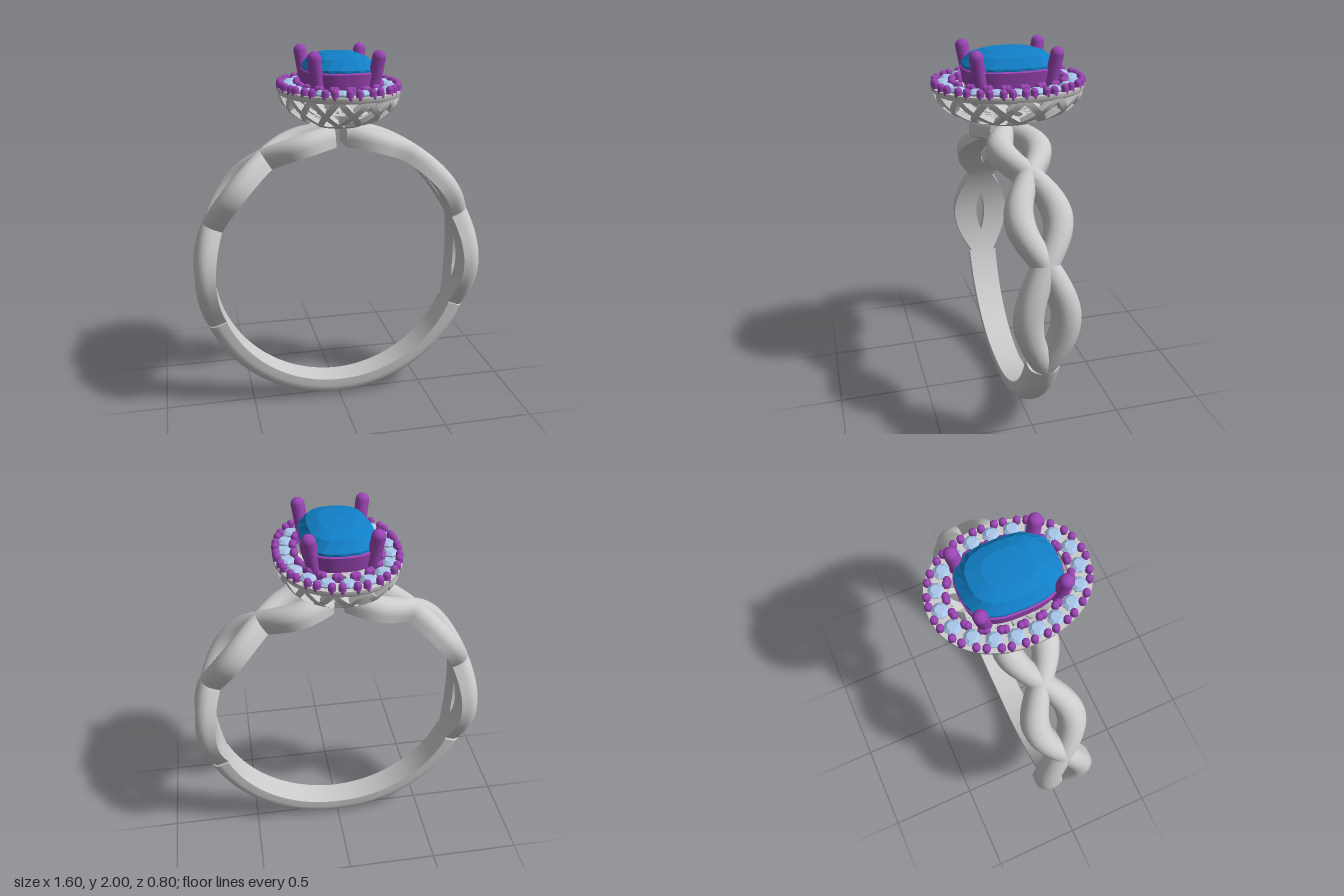
import * as THREE from 'three';
import { toCreasedNormals } from 'three/addons/utils/BufferGeometryUtils.js';

const V = (x, y, z) => new THREE.Vector3(x, y, z);
const TAU = Math.PI * 2;
const metal = new THREE.MeshStandardMaterial({ color: 0xcccccc });
const purple = new THREE.MeshStandardMaterial({ color: 0x9b45b5 });
const blue = new THREE.MeshStandardMaterial({ color: 0x1180c8, flatShading: true });
const paleBlue = new THREE.MeshStandardMaterial({ color: 0xa9c6ea, flatShading: true });

// Skin closed cross-sections; either loop them round or cap both ends.
function loft(rows, loop = false, crease = 0.7) {
  const n = rows[0].length, m = rows.length, pts = rows.flat(), idx = [];
  for (let i = 0; i < (loop ? m : m - 1); i++) for (let j = 0; j < n; j++) {
    const k = (j + 1) % n, a = i * n, b = ((i + 1) % m) * n;
    idx.push(a + j, b + j, b + k, a + j, b + k, a + k);
  }
  if (!loop) for (let j = 1; j < n - 1; j++) {
    const e = (m - 1) * n;
    idx.push(0, j, j + 1, e, e + j + 1, e + j);
  }
  // Turn the faces outward, judged by signed volume
  let vol = 0;
  for (let i = 0; i < idx.length; i += 3)
    vol += pts[idx[i]].dot(V(0, 0, 0).crossVectors(pts[idx[i + 1]], pts[idx[i + 2]]));
  if (vol < 0) idx.reverse();
  const g = new THREE.BufferGeometry().setFromPoints(pts);
  g.setIndex(idx);
  return toCreasedNormals(g, crease);
}

// Point on a cushion-shaped oval
function oval(phi, a, b, y, n = 2.15) {
  const c = Math.cos(phi), s = Math.sin(phi);
  return V(a * Math.sign(c) * Math.abs(c) ** (2 / n), y, b * Math.sign(s) * Math.abs(s) ** (2 / n));
}

// Oval ring swept from a profile of [half width, half depth, y]
function ovalRing(profile, n, steps = 96) {
  const rows = [];
  for (let i = 0; i < steps; i++)
    rows.push(profile.map(([a, b, y]) => oval(i / steps * TAU, a, b, y, n)));
  return loft(rows, true);
}

// Band section: flat inside, domed outside; theta is measured from the top
function bandSection(theta, z, half) {
  const row = [[-half, 0.692], [half, 0.692]];
  for (let i = 0; i <= 12; i++) {
    const a = i / 12 * Math.PI;
    row.push([half * Math.cos(a), 0.735 + 0.065 * Math.sin(a)]);
  }
  return row.map(([w, r]) => V(r * Math.sin(theta), 0.8 + r * Math.cos(theta), z + w));
}

const NODES = [0, 32, 68, 112];
function strandGeometry(side, sign) {
  const rows = [];
  for (let i = 0; i <= 72; i++) {
    const deg = 2.3 + (NODES[3] - 2.3) * i / 72;
    const k = deg < NODES[1] ? 0 : deg < NODES[2] ? 1 : 2;
    const u = (deg - NODES[k]) / (NODES[k + 1] - NODES[k]);
    const z = sign * (k % 2 ? -1 : 1) * 0.096 * Math.sin(Math.PI * u);
    rows.push(bandSection(side * THREE.MathUtils.degToRad(deg), z, 0.07));
  }
  return loft(rows);
}

// Basket bowl surface: t runs from the base (0) to the rim (1)
function bowl(phi, t, inset = 0) {
  const s = 0.3 + 0.68 * Math.sin(t * Math.PI / 2) - inset;
  return oval(phi, 0.318 * s, 0.397 * s, 1.612 + 0.165 * (1 - Math.cos(t * Math.PI / 2)) + inset * 0.2);
}
function ribGeometry(phi, twist) {
  const rows = [];
  for (let i = 0; i <= 16; i++) {
    const t = i / 16, a = phi + twist * t, w = 0.055 + 0.03 * (1 - t);
    rows.push([bowl(a - w, t), bowl(a + w, t), bowl(a + w, t, 0.075), bowl(a - w, t, 0.075)]);
  }
  return loft(rows);
}

// Faceted cushion stone: alternate rows are staggered to give kite facets
function cushionGeometry() {
  const levels = [[0.02, 1.978], [0.5, 1.972], [0.8, 1.95], [1, 1.905], [1, 1.89], [0.65, 1.81], [0.03, 1.735]];
  const rows = levels.map(([s, y], i) => Array.from({ length: 20 }, (_, j) =>
    oval((j + (i % 2) / 2) / 20 * TAU, 0.183 * s, 0.24 * s, y, 2.7)));
  return loft(rows, false, 0.01);
}

export function createModel() {
  const model = new THREE.Group();
  const group = (name) => {
    const g = new THREE.Group();
    g.name = name;
    model.add(g);
    return g;
  };
  const add = (parent, name, geo, mat) => {
    const m = new THREE.Mesh(geo, mat);
    m.name = name;
    parent.add(m);
    return m;
  };

  // Band: solid lower arc and two twisted strands on each shoulder
  const band = group('band');
  const arc = [];
  for (let i = 0; i <= 80; i++) {
    const u = i / 80;
    arc.push(bandSection(THREE.MathUtils.degToRad(112 + 136 * u), 0, 0.072 + 0.013 * Math.abs(2 * u - 1)));
  }
  add(band, 'lowerBand', loft(arc), metal);
  for (const side of [-1, 1]) for (const sign of [-1, 1])
    add(band, 'twistedStrand', strandGeometry(side, sign), metal);

  // Openwork basket below the halo
  const basket = group('basket');
  add(basket, 'basketBase', ovalRing([[0.06, 0.075, 1.602], [0.125, 0.145, 1.602],
    [0.145, 0.17, 1.622], [0.06, 0.075, 1.627]]), metal);
  const RIBS = 14;
  for (let i = 0; i < RIBS; i++) for (const dir of [-1, 1])
    add(basket, 'basketRib', ribGeometry((i + 0.5) / RIBS * TAU, dir * 1.5 / RIBS * TAU), metal);
  add(basket, 'haloPlate', ovalRing([[0.205, 0.283, 1.77], [0.308, 0.387, 1.765],
    [0.318, 0.397, 1.78], [0.318, 0.397, 1.797], [0.205, 0.283, 1.797]]), metal);

  // Halo: small stones held by paired beads
  const halo = group('halo');
  const STONES = 19;
  const stoneGeo = new THREE.LatheGeometry([[0, -0.035], [0.041, 0], [0.041, 0.006], [0.024, 0.02], [0, 0.02]]
    .map(([x, y]) => new THREE.Vector2(x, y)), 8);
  const beadGeo = new THREE.CapsuleGeometry(0.019, 0.026, 4, 10);
  // Equal arc-length spacing around the oval
  const path = new THREE.CatmullRomCurve3(
    Array.from({ length: 64 }, (_, i) => oval(-Math.PI / 2 + i / 64 * TAU, 0.258, 0.338, 0)), true);
  const at = (u, offset, y) => {
    const p = path.getPointAt((u + 1) % 1), t = path.getTangentAt((u + 1) % 1);
    return V(p.x + t.z * offset, y, p.z - t.x * offset);
  };
  for (let i = 0; i < STONES; i++) {
    add(halo, 'haloStone', stoneGeo, paleBlue).position.copy(at(i / STONES, 0, 1.802));
    for (const d of [-1, 1]) {
      add(halo, 'outerBead', beadGeo, purple).position.copy(at((i + 0.5 + d * 0.2) / STONES, 0.043, 1.804));
      add(halo, 'innerBead', beadGeo, purple).position.copy(at((i + 0.5 + d * 0.11) / STONES, -0.043, 1.804));
    }
  }

  // Centre stone in its bezel with four prongs
  const setting = group('centreSetting');
  add(setting, 'centreStone', cushionGeometry(), blue);
  add(setting, 'bezel', ovalRing([[0.145, 0.2, 1.805], [0.178, 0.232, 1.805],
    [0.19, 0.246, 1.885], [0.18, 0.237, 1.893], [0.165, 0.222, 1.885]], 2.7), purple);
  for (const x of [-1, 1]) for (const z of [-1, 1]) {
    const a = V(x * 0.14, 1.80, z * 0.178), b = V(x * 0.164, 1.965, z * 0.205);
    const prong = add(setting, 'prong', new THREE.CapsuleGeometry(0.035, a.distanceTo(b), 6, 14), purple);
    prong.position.copy(a).lerp(b, 0.5);
    prong.quaternion.setFromUnitVectors(V(0, 1, 0), b.clone().sub(a).normalize());
  }
  return model;
}
